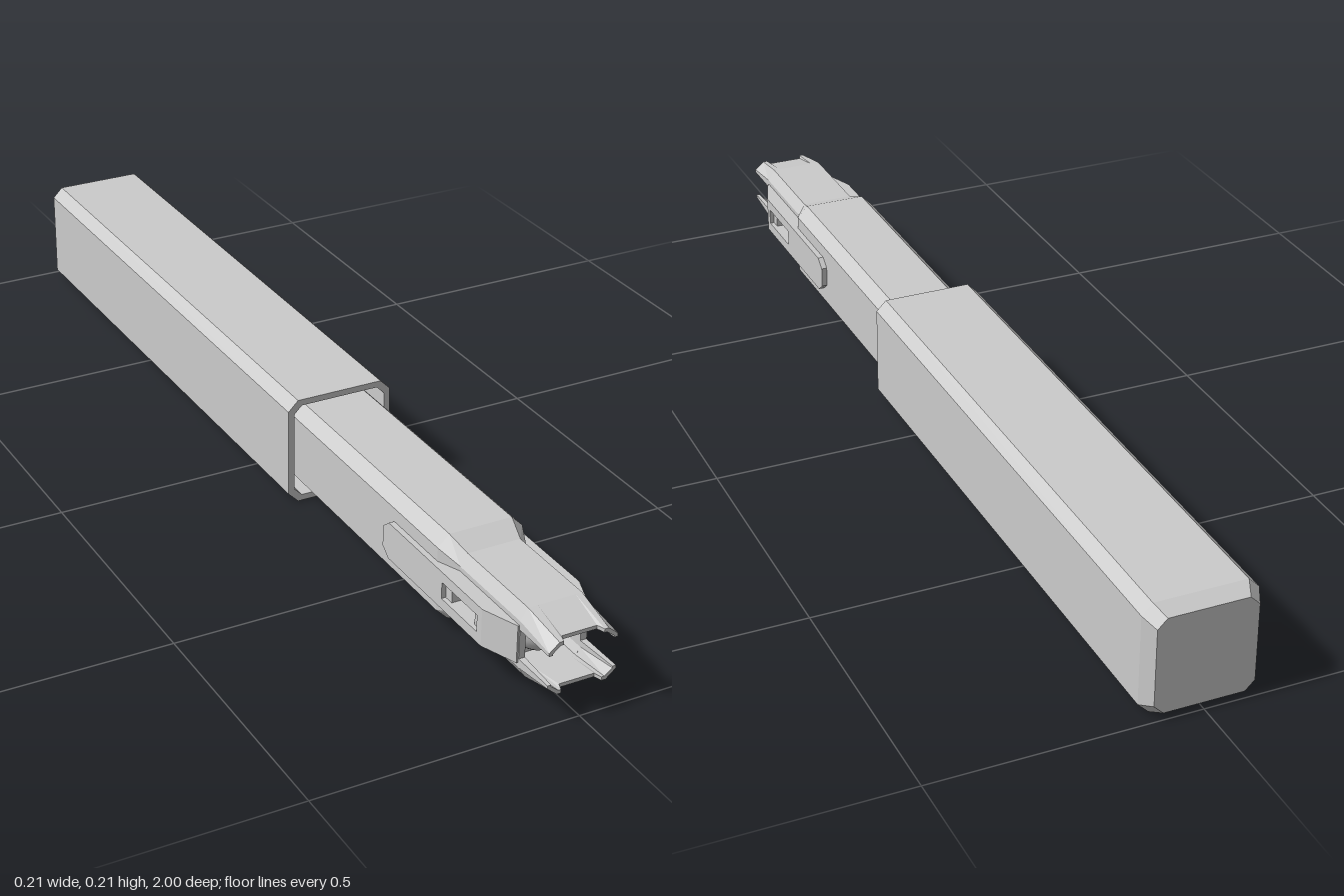
import * as THREE from 'three';

const material = new THREE.MeshStandardMaterial({ color: 0xcccccc, flatShading: true });
const smooth = new THREE.MeshStandardMaterial({ color: 0xcccccc });
const CY = 0.108; // height of the long axis

// Joins closed rings of [x, y, z] points (counter-clockwise seen from +z) and caps both ends.
function loft(rings) {
  const pos = [];
  const quad = (a, b, c, d) => pos.push(...a, ...b, ...c, ...a, ...c, ...d);
  const n = rings[0].length;
  for (let r = 0; r < rings.length - 1; r++) {
    for (let i = 0; i < n; i++) {
      const j = (i + 1) % n;
      quad(rings[r][i], rings[r][j], rings[r + 1][j], rings[r + 1][i]);
    }
  }
  const first = rings[0], last = rings[rings.length - 1];
  for (let k = 0; k < n / 2 - 1; k++) {
    const ids = [k, k + 1, n - 2 - k, n - 1 - k];
    quad(...ids.map((i) => last[i]));
    quad(...ids.reverse().map((i) => first[i]));
  }
  const geo = new THREE.BufferGeometry();
  geo.setAttribute('position', new THREE.Float32BufferAttribute(pos, 3));
  geo.computeVertexNormals();
  return geo;
}

// Chamfered rectangle: half sizes w, h; s and f are the half lengths of the side and top flats.
const octagon = (z, w, h, f, s) => [
  [w, -s, z], [w, s, z], [f, h, z], [-f, h, z],
  [-w, s, z], [-w, -s, z], [-f, -h, z], [f, -h, z],
];
const square = (z, half, chamfer) => octagon(z, half, half, half - chamfer, half - chamfer);

const rectangle = (z, x0, x1, h) => [[x0, -h, z], [x1, -h, z], [x1, h, z], [x0, h, z]];

// Cross-section of a jaw: an arch of thickness t, with its middle set back by the notch.
function jawRing(z, w, h, f, s, t, notch) {
  const arch = (w, h, f, s) => {
    const right = [[w, 0.028], [w, s], [f, h], [0.039, h], [0.034, h]];
    return [...right, ...right.map(([x, y]) => [-x, y]).reverse()];
  };
  const ring = [...arch(w, h, f, s), ...arch(w - t, h - t, f - t * 0.4, s - t * 0.4).reverse()];
  return ring.map(([x, y]) => [x, y, Math.abs(x) < 0.036 ? z - notch : z]);
}

// Side clip with a window and a wedge-shaped front end.
function makeClip() {
  const clip = new THREE.Group();
  const h = 0.036;
  const outline = new THREE.Shape([
    [0.505, -h + 0.016], [0.525, -h], [0.84, -h], [0.84, h], [0.525, h], [0.505, h - 0.016],
  ].map(([z, y]) => new THREE.Vector2(z, y)));
  outline.holes.push(new THREE.Path([
    [0.71, -0.016], [0.71, 0.016], [0.825, 0.016], [0.825, -0.016],
  ].map(([z, y]) => new THREE.Vector2(z, y))));
  const plate = new THREE.ExtrudeGeometry(outline, { depth: 0.035, bevelEnabled: false });
  plate.rotateY(-Math.PI / 2).translate(0.095, 0, 0);
  add(clip, 'clipPlate', plate);
  add(clip, 'clipWedge', loft([rectangle(0.84, 0.06, 0.095, h), rectangle(0.91, 0.06, 0.069, h)]));
  // Ledges at both ends of the window
  for (const z of [0.72, 0.815]) {
    add(clip, 'windowLedge', new THREE.BoxGeometry(0.025, 0.032, 0.02).translate(0.074, 0, z));
  }
  return clip;
}

function add(parent, name, geometry, mat = material) {
  const mesh = new THREE.Mesh(geometry, mat);
  mesh.name = name;
  parent.add(mesh);
  return mesh;
}

export function createModel() {
  const model = new THREE.Group();
  model.name = 'handTool';
  const body = new THREE.Group();
  body.name = 'body';
  body.position.y = CY;
  model.add(body);

  // Square sleeve with a bevelled back and an open front socket
  add(body, 'handle', loft([
    square(-1, 0.093, 0.018), square(-0.97, 0.107, 0.02), square(0.165, 0.107, 0.02),
    square(0.165, 0.095, 0.016), square(-0.3, 0.095, 0.016),
  ]));

  // Neck stepping down to the hollow tip
  add(body, 'neck', loft([
    octagon(-0.3, 0.084, 0.084, 0.062, 0.062),
    octagon(0.675, 0.084, 0.084, 0.062, 0.062),
    octagon(0.72, 0.066, 0.067, 0.052, 0.045),
    octagon(0.912, 0.066, 0.067, 0.052, 0.045),
    octagon(0.912, 0.054, 0.055, 0.047, 0.04),
    octagon(0.865, 0.054, 0.055, 0.047, 0.04),
  ]));

  // Rounded core inside the mouth
  add(body, 'core', new THREE.SphereGeometry(0.05, 32, 20).translate(0, 0, 0.863), smooth);

  // Upper and lower jaws, left and right clips
  const jaw = loft([
    jawRing(0.912, 0.066, 0.067, 0.052, 0.045, 0.012, 0),
    jawRing(1, 0.066, 0.05, 0.047, 0.034, 0.007, 0.015),
  ]);
  for (const turn of [0, Math.PI]) {
    add(body, turn ? 'lowerJaw' : 'upperJaw', jaw).rotation.z = turn;
    const clip = makeClip();
    clip.name = turn ? 'rightClip' : 'leftClip';
    clip.rotation.z = turn;
    body.add(clip);
  }
  return model;
}
